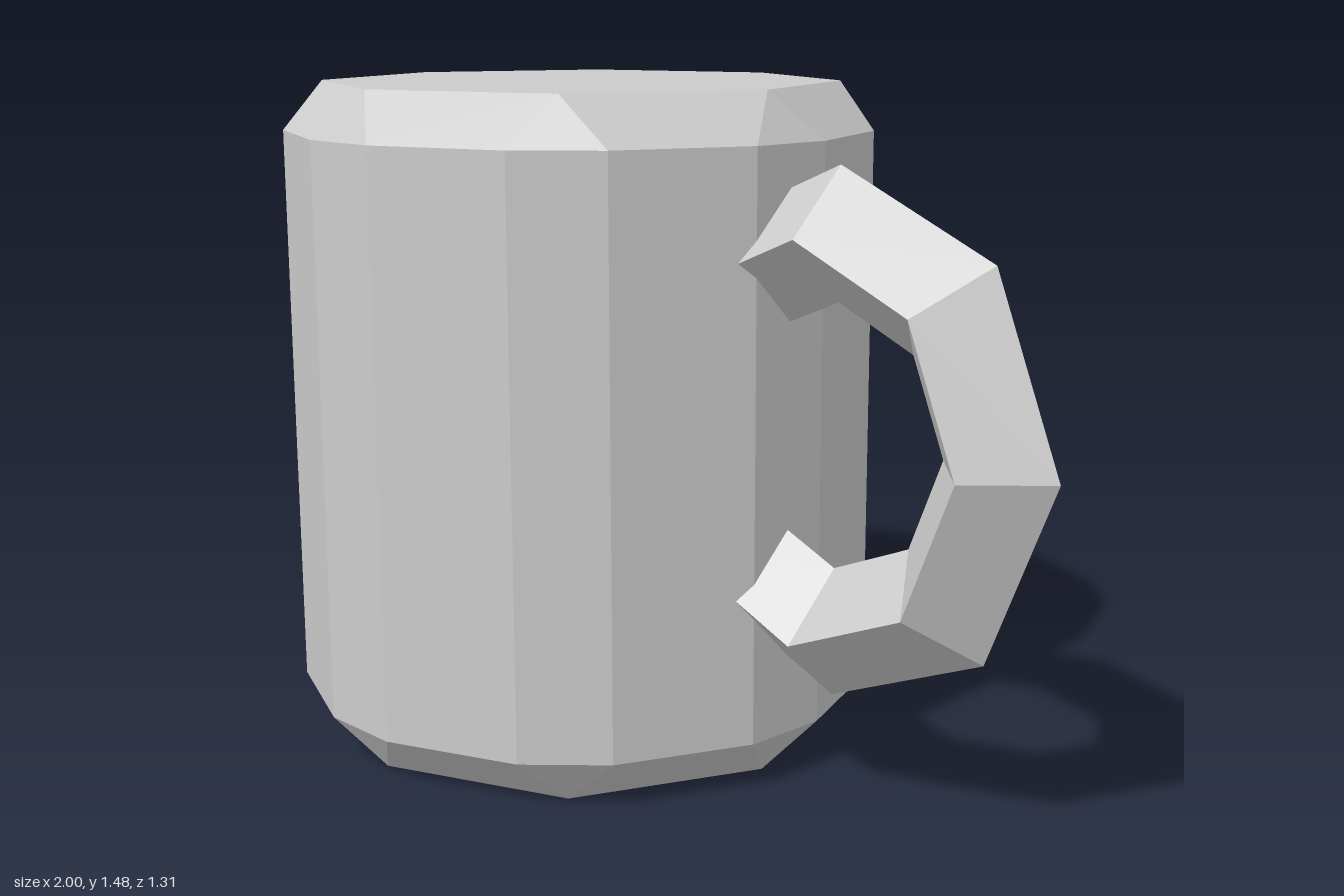
import * as THREE from 'three';
import { ConvexGeometry } from 'three/addons/geometries/ConvexGeometry.js';

const BODY_X = -0.345;
const HEIGHT = 1.48;
const BEVEL = 0.105;
const CAP_RADIUS = 0.585;
const WALL_RADIUS = 0.663;
const CORNER = THREE.MathUtils.degToRad(8.7); // half angle of each bevelled upright corner

function ringPoint(radius, angle, y) {
  return new THREE.Vector3(Math.cos(angle) * radius, y, Math.sin(angle) * radius);
}

// Octagonal prism with every edge bevelled: 8-sided caps, 16-sided wall
function bodyGeometry() {
  const points = [];
  for (let i = 0; i < 8; i++) {
    const a = (i * Math.PI) / 4;
    for (const [capY, wallY] of [[0, BEVEL], [HEIGHT, HEIGHT - BEVEL]]) {
      points.push(
        ringPoint(CAP_RADIUS, a, capY),
        ringPoint(WALL_RADIUS, a - CORNER, wallY),
        ringPoint(WALL_RADIUS, a + CORNER, wallY)
      );
    }
  }
  return new ConvexGeometry(points);
}

export function createModel() {
  const group = new THREE.Group();
  group.name = 'mug';
  const material = new THREE.MeshStandardMaterial({ color: 0xcccccc, flatShading: true });

  const body = new THREE.Mesh(bodyGeometry(), material);
  body.name = 'body';
  body.position.x = BODY_X;
  group.add(body);

  // Handle: diamond-section ring of six segments, its ends buried in the body
  const handleGeometry = new THREE.TorusGeometry(0.4175, 0.1385, 4, 6, Math.PI * 1.5);
  handleGeometry.rotateZ(-Math.PI * 0.75);
  const handle = new THREE.Mesh(handleGeometry, material);
  handle.name = 'handle';
  handle.position.set(0.444, 0.785, 0);
  group.add(handle);

  return group;
}
